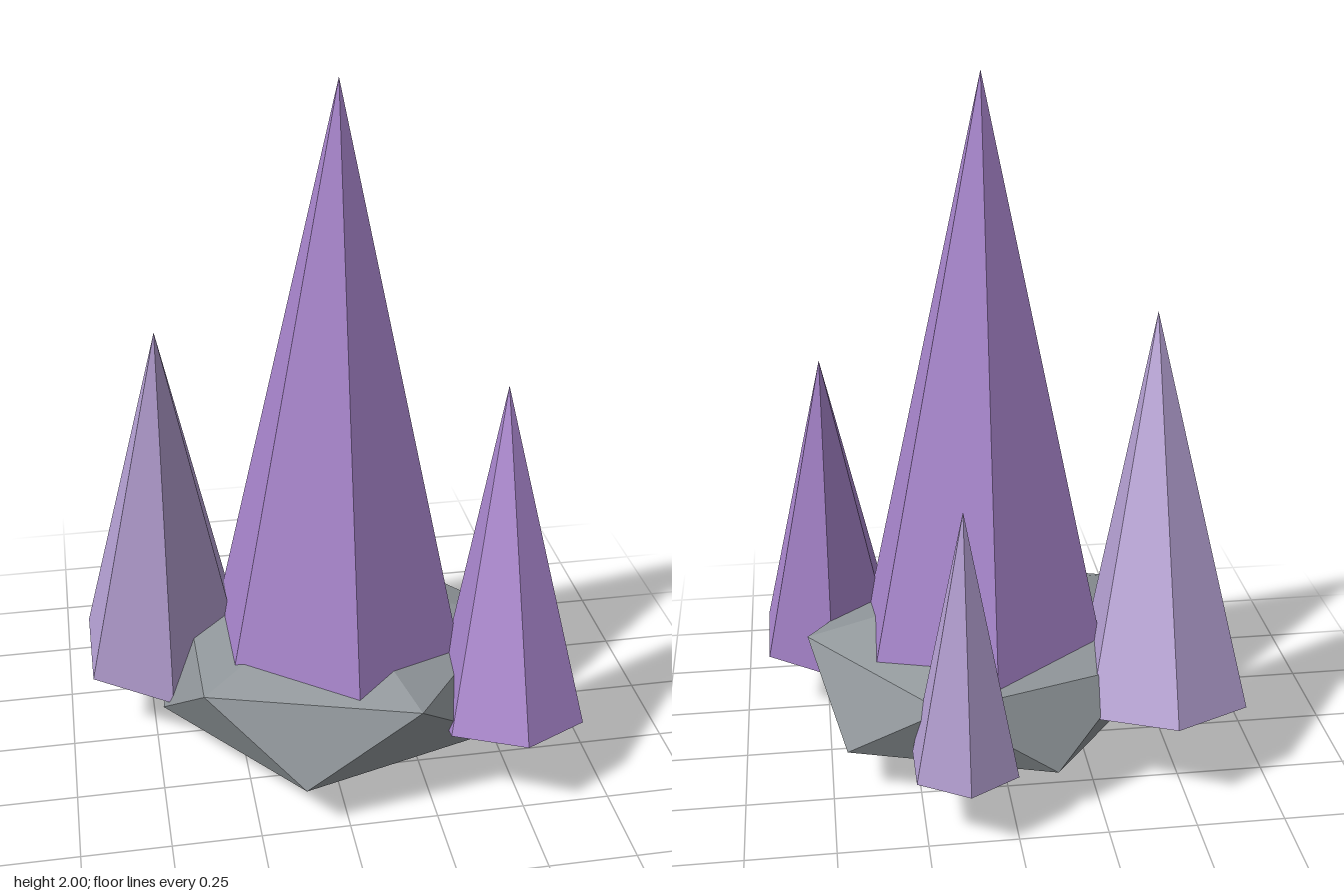
import * as THREE from 'three';
import { ConvexGeometry } from 'three/addons/geometries/ConvexGeometry.js';

const material = (name, color) => {
  const m = new THREE.MeshStandardMaterial({ color });
  m.name = name;
  return m;
};

// Six-sided pointed crystal: base centre, radius, height, tilt about x
function crystal(name, mat, [x, y, z], radius, height, tilt = 0) {
  const geometry = new THREE.ConeGeometry(radius, height, 6).toNonIndexed();
  geometry.translate(0, height / 2, 0);
  geometry.computeVertexNormals();
  const mesh = new THREE.Mesh(geometry, mat);
  mesh.name = name;
  mesh.position.set(x, y, z);
  mesh.rotation.x = THREE.MathUtils.degToRad(tilt);
  return mesh;
}

export function createModel() {
  const stone = material('stone grey', 0x90969a);
  const purple = material('crystal purple', 0xa885cc);
  const lavender = material('pale lavender', 0xb49fd2);
  const group = new THREE.Group();
  group.name = 'crystalCluster';

  // Squashed twenty-sided rock: two staggered rings of five between two poles
  const points = [new THREE.Vector3(0, -0.25, 0), new THREE.Vector3(0, 0.25, 0)];
  for (let i = 0; i < 10; i++) {
    const a = (i * Math.PI) / 5;
    points.push(new THREE.Vector3(0.518 * Math.cos(a), i % 2 ? -0.112 : 0.112, 0.473 * Math.sin(a)));
  }
  const rock = new THREE.Mesh(new ConvexGeometry(points), stone);
  rock.name = 'rockBase';
  rock.position.set(0.037, 0.25, 0.05);
  group.add(rock);

  // Crystals growing out of the rock
  group.add(
    crystal('mainCrystal', purple, [0.037, 0.25, 0.05], 0.404, 1.75),
    crystal('rightCrystal', lavender, [-0.453, 0.22, -0.17], 0.262, 1.13, 10),
    crystal('leftCrystal', purple, [0.485, 0.215, 0.34], 0.22, 0.973, -9.5),
    crystal('backCrystal', lavender, [0.138, 0.187, -0.397], 0.161, 0.768),
  );
  return group;
}
